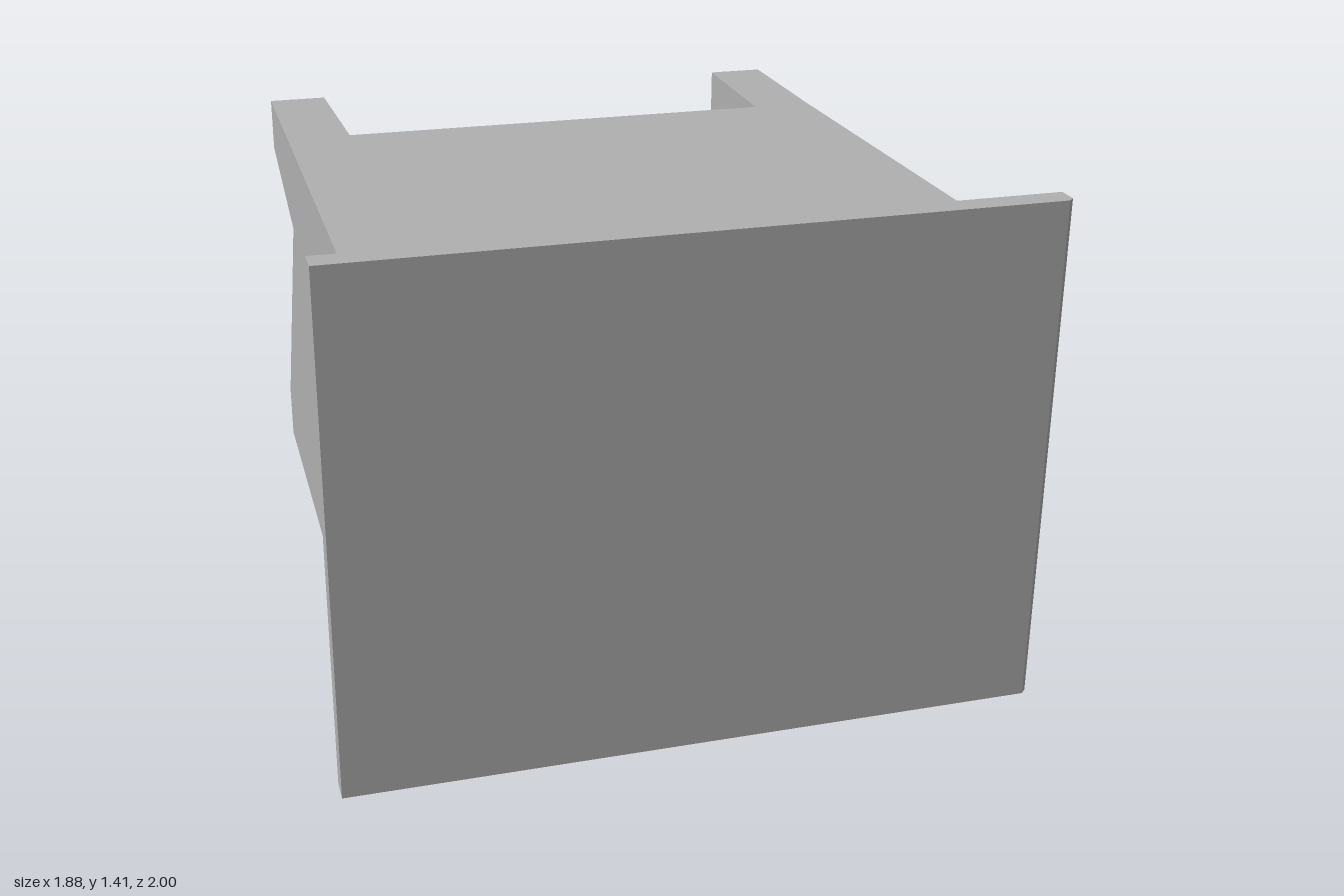
import * as THREE from 'three';

const grey = new THREE.MeshStandardMaterial({ color: 0xb0b0b0 });
grey.name = 'plain grey';

// Flat-shaded mesh from convex polygons listed counter-clockwise from outside
function facets(name, polygons) {
  const positions = [];
  for (const p of polygons) {
    for (let i = 1; i < p.length - 1; i++) positions.push(...p[0], ...p[i], ...p[i + 1]);
  }
  const geometry = new THREE.BufferGeometry();
  geometry.setAttribute('position', new THREE.Float32BufferAttribute(positions, 3));
  geometry.computeVertexNormals();
  const mesh = new THREE.Mesh(geometry, grey);
  mesh.name = name;
  return mesh;
}

// Block lofted through rectangles [z, x0, x1, y0, y1], ordered back to front
function loft(name, sections) {
  const rings = sections.map(([z, x0, x1, y0, y1]) =>
    [[x0, y0, z], [x1, y0, z], [x1, y1, z], [x0, y1, z]]);
  const polygons = [[...rings[0]].reverse(), rings[rings.length - 1]];
  for (let s = 0; s < rings.length - 1; s++) {
    const a = rings[s], b = rings[s + 1];
    for (let i = 0; i < 4; i++) {
      const j = (i + 1) % 4;
      polygons.push([a[i], a[j], b[j], b[i]]);
    }
  }
  return facets(name, polygons);
}

// Rear prong from the body to a tip with a small bevel
function prong(name, tip, root) {
  const [x0, x1, y0, y1] = tip, b = 0.01;
  return loft(name, [
    [-1, x0 + b, x1 - b, y0 + b, y1 - b],
    [-0.985, x0, x1, y0, y1],
    [-0.5, ...root],
  ]);
}

export function createModel() {
  const group = new THREE.Group();
  group.name = 'prongedBlock';

  // Front plate with a sloped rim behind it and one chamfered side
  group.add(loft('frontPlate', [
    [0.9, -0.83, 0.825, 0.12, 1.295],
    [0.93, -0.94, 0.94, 0, 1.41],
    [0.985, -0.94, 0.94, 0, 1.41],
    [1, -0.94, 0.925, 0, 1.41],
  ]));

  // Main body
  group.add(loft('body', [
    [-0.5, -0.83, 0.815, 0.12, 1.288],
    [0.9, -0.83, 0.825, 0.12, 1.295],
  ]));

  // Rear prongs; the lower one on the -x side is a tall wedge
  group.add(
    prong('upperLeftProng', [0.655, 0.82, 1.13, 1.285], [0.64, 0.815, 1.115, 1.288]),
    prong('lowerLeftProng', [0.655, 0.82, 0.125, 0.28], [0.64, 0.815, 0.12, 0.3]),
    prong('upperRightProng', [-0.83, -0.66, 1.13, 1.285], [-0.83, -0.645, 1.01, 1.288]),
    prong('lowerRightWedge', [-0.83, -0.66, 0.12, 0.28], [-0.83, -0.645, 0.12, 1.01]),
  );

  // Shallow keel under the -x half, steep on its inner side
  const a = [0.02, 0.12, 0.9], b = [0.02, 0.06, 0.53];
  const c = [0.02, 0.06, -0.17], d = [0.02, 0.12, -0.48];
  const e = [-0.825, 0.119, 0.9], f = [-0.825, 0.119, -0.48];
  group.add(facets('underKeel', [[a, b, c, d], [b, e, f, c], [a, e, b], [d, c, f]]));

  return group;
}
